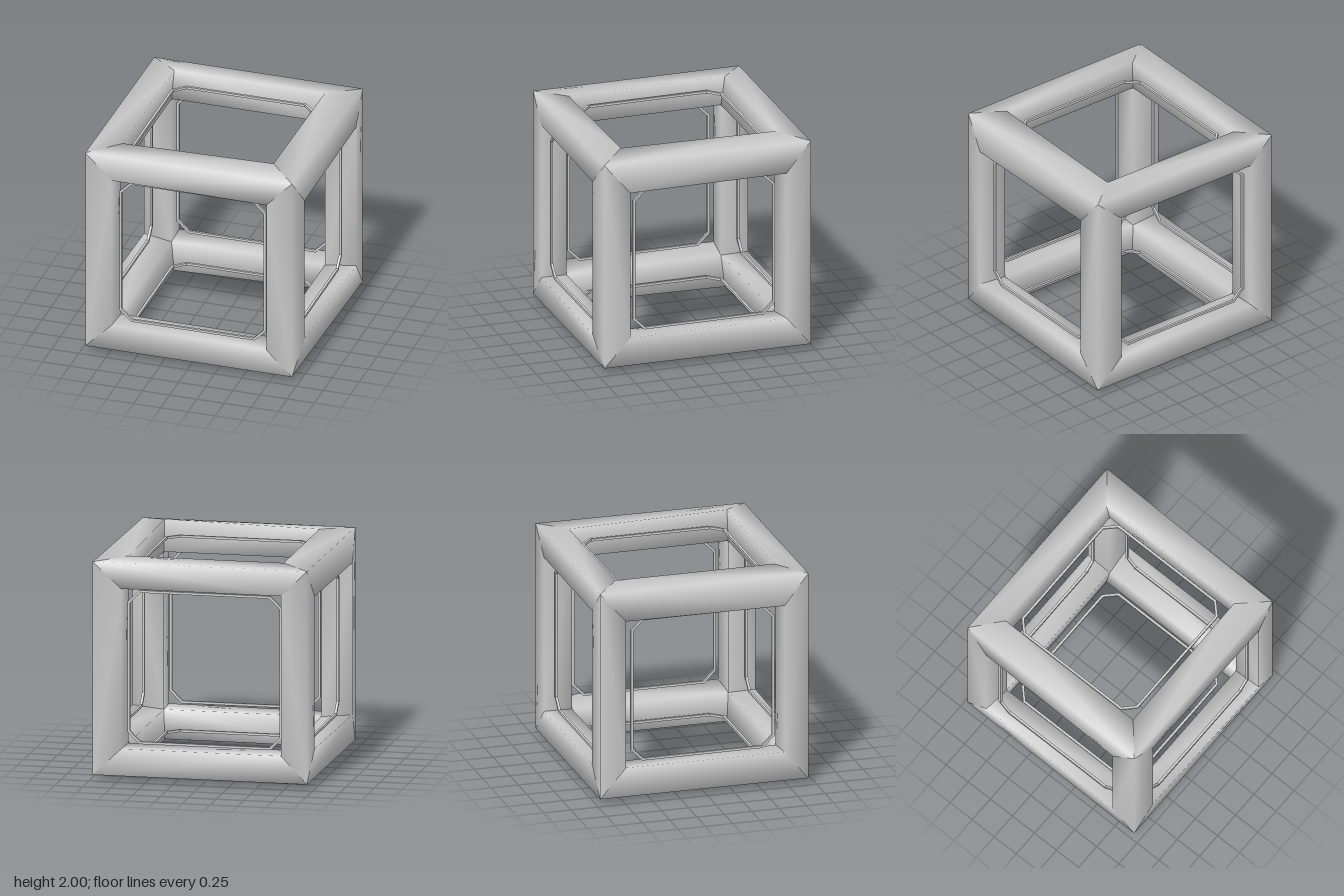
import * as THREE from 'three';

const material = new THREE.MeshStandardMaterial({ color: 0xcccccc });

// Slightly uneven points shared by the beams at a corner, measured from the cube's middle.
// s holds the corner's signs; kind is 'tip', 'inner', or the axis (0, 1, 2) of the outward face.
function cornerPoint(s, kind) {
  const [sx, sy, sz] = s;
  const pick = (sign, plus, minus) => (sign > 0 ? plus : -minus);
  if (kind === 'tip') {
    return [pick(sx, sz > 0 ? 0.94 : 0.972, sz > 0 ? 0.96 : 0.945), pick(sy, 0.955, 0.95), pick(sz, 0.935, 0.965)];
  }
  if (kind === 0) return [pick(sx, 0.985, sz > 0 ? 0.985 : 0.965), pick(sy, 0.685, 0.675), pick(sz, 0.71, 0.735)];
  if (kind === 1) {
    const top = sx > 0 && sz > 0 ? 1 : 0.975;
    const bottom = sx < 0 && sz < 0 ? 1 : 0.967;
    return [pick(sx, 0.695, 0.69), pick(sy, top, bottom), pick(sz, 0.7, 0.745)];
  }
  if (kind === 2) return [0.715 * sx, pick(sy, 0.725, 0.705), pick(sz, sx > 0 ? 0.967 : 0.945, 0.968)];
  return [0.705 * sx, 0.705 * sy, 0.715 * sz];
}

// Four-sided, softly shaded beam along one axis, mitred at both ends
function beam(axis, sb, sc) {
  const b = (axis + 1) % 3, c = (axis + 2) % 3;
  const positions = [], index = [];
  for (const end of [-1, 1]) {
    const s = [0, 0, 0];
    s[axis] = end; s[b] = sb; s[c] = sc;
    for (const kind of ['tip', b, 'inner', c]) {
      const [x, y, z] = cornerPoint(s, kind);
      positions.push(x, y + 1, z);
    }
  }
  for (let k = 0; k < 4; k++) {
    const n = (k + 1) % 4;
    if (sb * sc > 0) index.push(k, k + 4, n + 4, k, n + 4, n);
    else index.push(k, n + 4, k + 4, k, n, n + 4);
  }
  const geometry = new THREE.BufferGeometry();
  geometry.setAttribute('position', new THREE.Float32BufferAttribute(positions, 3));
  geometry.setIndex(index);
  geometry.computeVertexNormals();
  return new THREE.Mesh(geometry, material);
}

// Square outline with cut corners
function octagon(x0, x1, y0, y1, cut) {
  return [
    [x0 + cut, y0], [x1 - cut, y0], [x1, y0 + cut], [x1, y1 - cut],
    [x1 - cut, y1], [x0 + cut, y1], [x0, y1 - cut], [x0, y0 + cut],
  ].map(([x, y]) => new THREE.Vector2(x, y));
}

// Thin eight-sided loop, flat in its own XY plane
function loop(x0, x1, y0, y1) {
  const w = 0.022, depth = 0.022;
  const shape = new THREE.Shape(octagon(x0, x1, y0, y1, 0.105));
  shape.holes.push(new THREE.Path(octagon(x0 + w, x1 - w, y0 + w, y1 - w, 0.093)));
  const geometry = new THREE.ExtrudeGeometry(shape, { depth, bevelEnabled: false });
  geometry.translate(0, 0, -depth / 2);
  return new THREE.Mesh(geometry, material);
}

export function createModel() {
  const model = new THREE.Group();
  model.name = 'cubeFrame';

  // Twelve beams
  ['crossBeam', 'uprightBeam', 'depthBeam'].forEach((name, axis) => {
    for (const sb of [-1, 1]) {
      for (const sc of [-1, 1]) {
        const mesh = beam(axis, sb, sc);
        mesh.name = name;
        model.add(mesh);
      }
    }
  });

  // One thin loop in each of the six openings: name, bounds, position, rotation
  const q = Math.PI / 2, d = 0.87;
  const loops = [
    ['frontLoop', [-0.665, 0.685, -0.675, 0.7], [0, 1, d], [0, 0, 0]],
    ['backLoop', [-0.705, 0.68, -0.675, 0.7], [0, 1, -d], [0, 0, 0]],
    ['leftLoop', [-0.65, 0.665, -0.655, 0.67], [d, 1, 0], [0, q, 0]],
    ['rightLoop', [-0.65, 0.665, -0.655, 0.67], [-d, 1, 0], [0, q, 0]],
    ['topLoop', [-0.66, 0.655, -0.64, 0.675], [0, 1 + d, 0], [-q, 0, 0]],
    ['bottomLoop', [-0.66, 0.655, -0.64, 0.675], [0, 1 - d, 0], [-q, 0, 0]],
  ];
  for (const [name, bounds, position, rotation] of loops) {
    const mesh = loop(...bounds);
    mesh.name = name;
    mesh.position.set(...position);
    mesh.rotation.set(...rotation);
    model.add(mesh);
  }
  return model;
}
